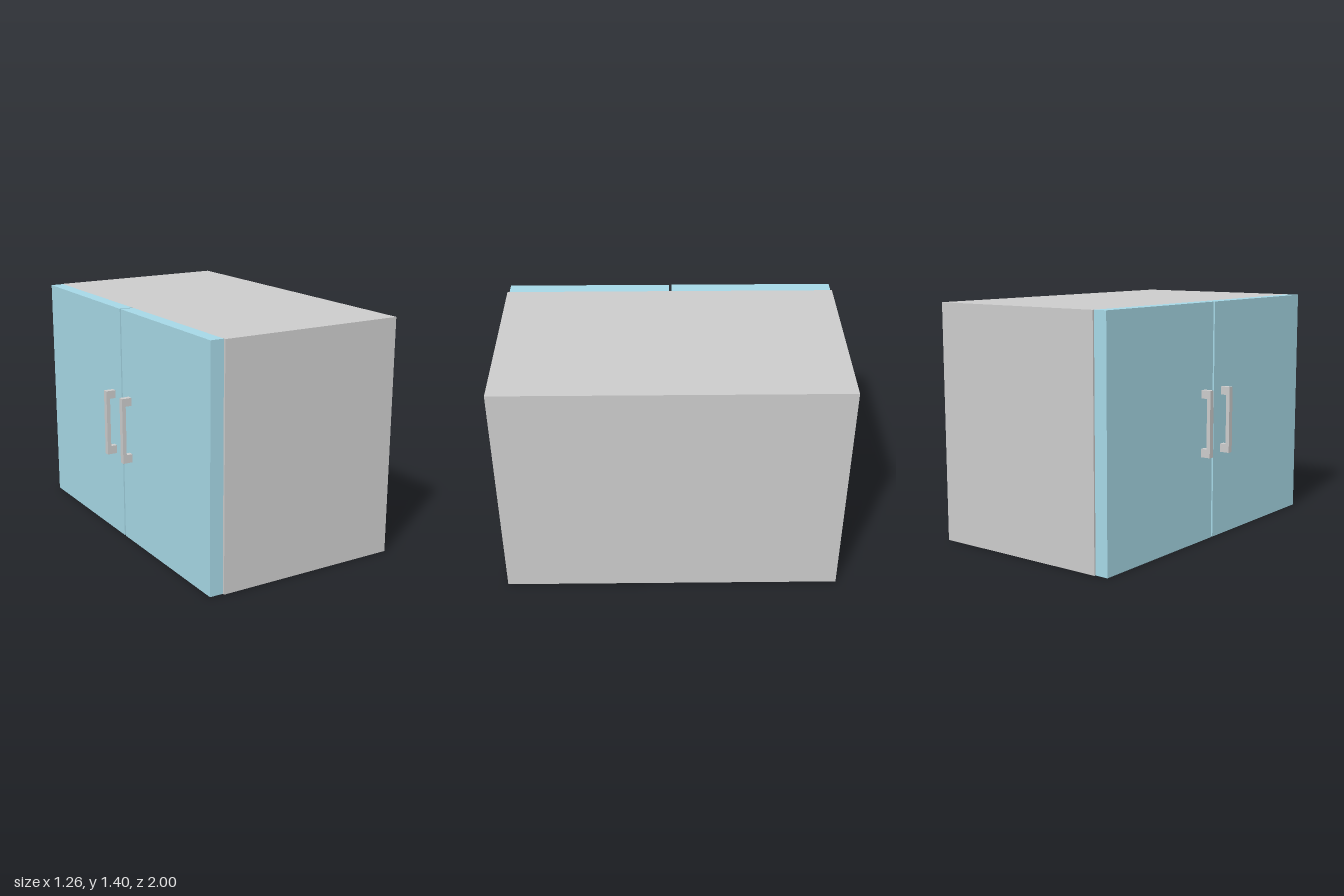
import * as THREE from 'three';

const grey = new THREE.MeshStandardMaterial({ color: 0xcccccc, flatShading: true });
const blue = new THREE.MeshStandardMaterial({ color: 0xa6d8e6, flatShading: true });

// Box given by its minimum and maximum corners
function box(name, material, [x0, y0, z0], [x1, y1, z1]) {
  const mesh = new THREE.Mesh(new THREE.BoxGeometry(x1 - x0, y1 - y0, z1 - z0), material);
  mesh.position.set((x0 + x1) / 2, (y0 + y1) / 2, (z0 + z1) / 2);
  mesh.name = name;
  return mesh;
}

// C-shaped pull handle, extruded along z
function handle(name, z0, z1) {
  const outline = [
    [-0.57, 0.505], [-0.57, 0.555], [-0.607, 0.555], [-0.607, 0.85],
    [-0.57, 0.85], [-0.57, 0.898], [-0.63, 0.898], [-0.63, 0.505],
  ].map(([x, y]) => new THREE.Vector2(x, y));
  const geometry = new THREE.ExtrudeGeometry(new THREE.Shape(outline), { depth: z1 - z0, bevelEnabled: false });
  const mesh = new THREE.Mesh(geometry, grey);
  mesh.position.z = z0;
  mesh.name = name;
  return mesh;
}

export function createModel() {
  const model = new THREE.Group();
  model.name = 'cabinet';

  // Carcass
  model.add(box('cabinetBody', grey, [-0.49, 0, -1], [0.627, 1.4, 1]));

  // Two doors on the -x side with a narrow gap between them
  model.add(box('backDoor', blue, [-0.57, 0, -0.99], [-0.49, 1.4, -0.01]));
  model.add(box('frontDoor', blue, [-0.57, 0, 0.005], [-0.49, 1.4, 0.987]));

  // Handles either side of the gap
  model.add(handle('backDoorHandle', -0.123, -0.09));
  model.add(handle('frontDoorHandle', 0.08, 0.113));

  return model;
}
